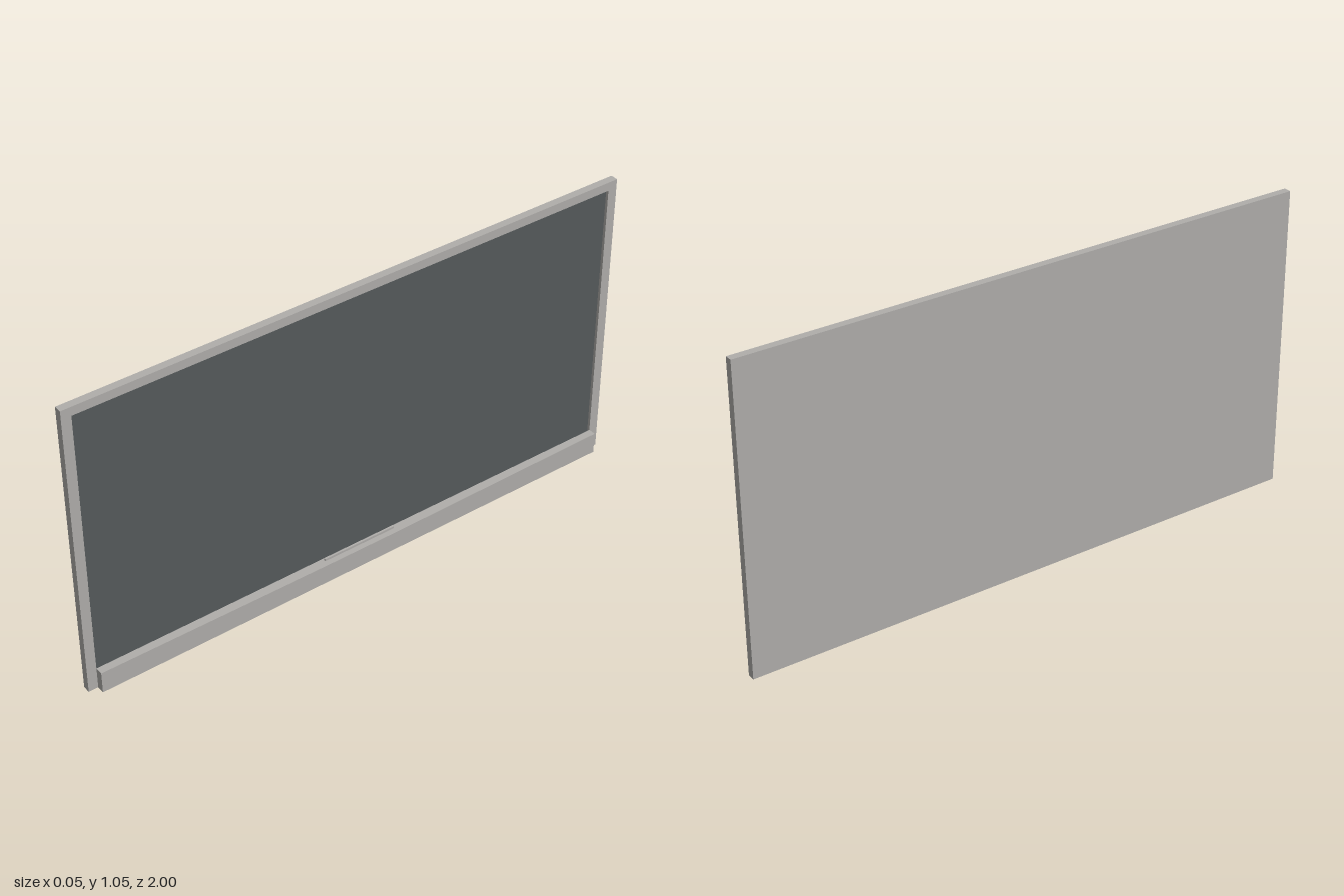
import * as THREE from 'three';

const frameGrey = new THREE.MeshStandardMaterial({ color: 0xb0aeab });
frameGrey.name = 'frame grey';
const boardSlate = new THREE.MeshStandardMaterial({ color: 0x565b5c });
boardSlate.name = 'board slate';

export function createModel() {
  const group = new THREE.Group();

  // box given by its lower and upper corners
  const box = (name, [x0, y0, z0], [x1, y1, z1], material = frameGrey) => {
    const mesh = new THREE.Mesh(new THREE.BoxGeometry(x1 - x0, y1 - y0, z1 - z0), material);
    mesh.position.set((x0 + x1) / 2, (y0 + y1) / 2, (z0 + z1) / 2);
    mesh.name = name;
    group.add(mesh);
  };

  const back = -0.027, face = -0.001, recess = -0.011;
  const height = 1.046, inner = 0.967, innerTop = 1.016;

  // backing and raised frame rails
  box('backPanel', [back, 0, -1], [recess - 0.004, height, 1]);
  box('topRail', [recess - 0.004, innerTop, -1], [face, height, 1]);
  box('leftRail', [recess - 0.004, 0, inner], [face, innerTop, 1]);
  box('rightRail', [recess - 0.004, 0, -1], [face, innerTop, -inner]);
  box('bottomRail', [recess - 0.004, 0, -inner], [face, 0.066, inner]);

  // recessed writing surface
  box('board', [recess - 0.004, 0.066, -inner], [recess, innerTop, inner], boardSlate);

  // tray whose top dips gently toward the middle
  const profile = new THREE.Shape();
  profile.moveTo(-inner, 0);
  profile.lineTo(inner, 0);
  profile.lineTo(inner, 0.077);
  profile.lineTo(0.135, 0.069);
  profile.lineTo(-0.135, 0.069);
  profile.lineTo(-inner, 0.077);
  const trayGeometry = new THREE.ExtrudeGeometry(profile, { depth: 0.027, bevelEnabled: false });
  trayGeometry.rotateY(Math.PI / 2);
  const tray = new THREE.Mesh(trayGeometry, frameGrey);
  tray.position.x = face;
  tray.name = 'tray';
  group.add(tray);

  // small raised strip at the back of the tray
  box('trayStrip', [face, 0.066, -0.135], [0.006, 0.077, 0.135]);

  return group;
}
